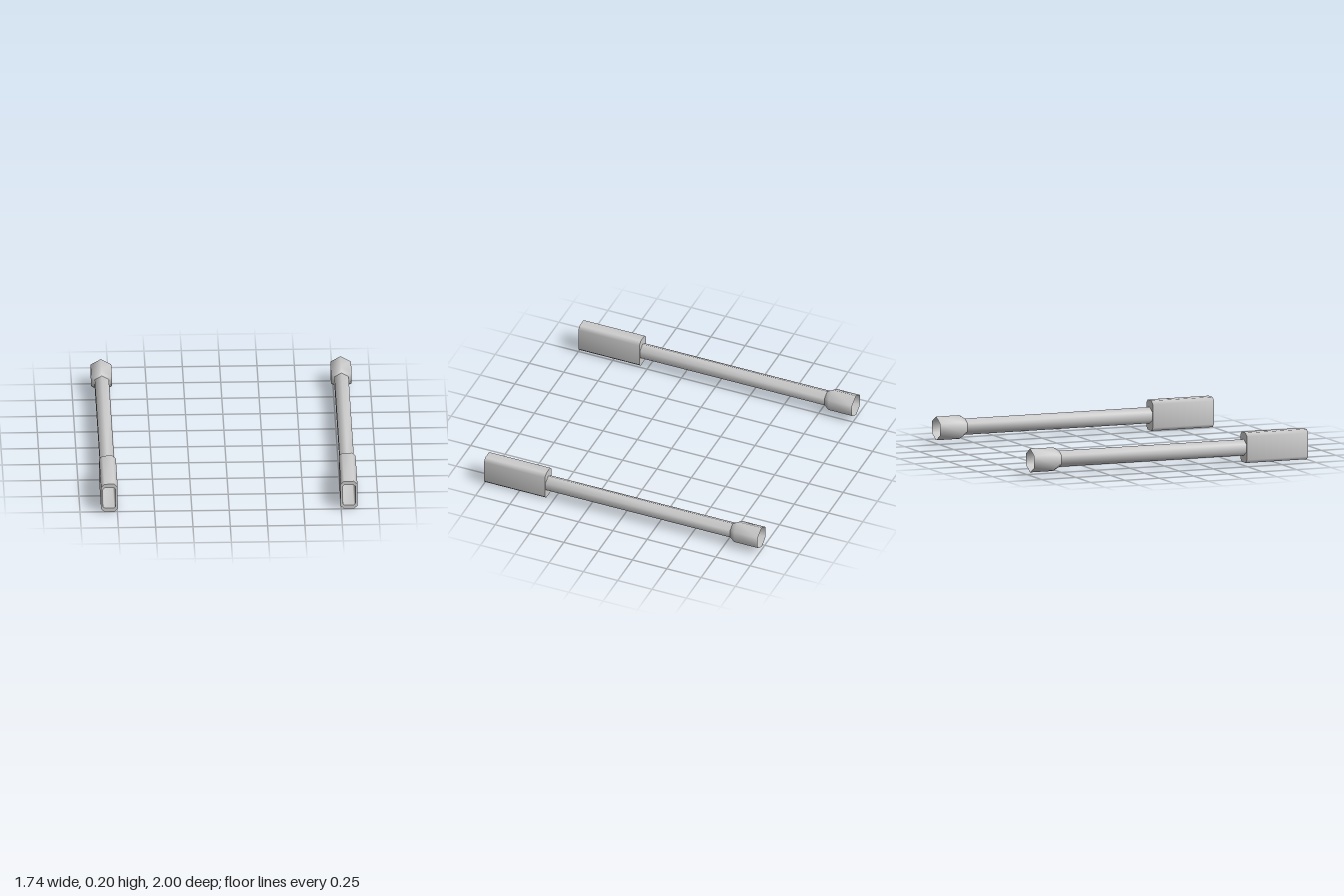
import * as THREE from 'three';
import { mergeGeometries } from 'three/addons/utils/BufferGeometryUtils.js';

const material = new THREE.MeshStandardMaterial({ color: 0xcccccc, side: THREE.DoubleSide });

// Hexagon with a corner at the top.
const hexagon = (r) => Array.from({ length: 6 }, (_, i) => {
  const a = Math.PI / 2 + (i * Math.PI) / 3;
  return [r * Math.cos(a), r * Math.sin(a)];
});

// Rectangle with cut corners, counterclockwise.
const cutRectangle = (w, h, c) => [
  [w, -h + c], [w, h - c], [w - c, h], [-w + c, h],
  [-w, h - c], [-w, -h + c], [-w + c, -h], [w - c, -h],
];

// Skin through a series of [outline, z] sections.
function loft(sections) {
  const n = sections[0][0].length;
  const positions = sections.flatMap(([outline, z]) => outline.flatMap(([x, y]) => [x, y, z]));
  const index = [];
  for (let i = 0; i < sections.length - 1; i++) {
    for (let j = 0; j < n; j++) {
      const a = i * n + j, b = i * n + ((j + 1) % n);
      index.push(a, b, b + n, a, b + n, a + n);
    }
  }
  const geometry = new THREE.BufferGeometry();
  geometry.setAttribute('position', new THREE.Float32BufferAttribute(positions, 3));
  geometry.setIndex(index);
  geometry.computeVertexNormals();
  return geometry;
}

function part(name, ...skins) {
  const mesh = new THREE.Mesh(mergeGeometries(skins.map(loft)), material);
  mesh.name = name;
  return mesh;
}

function createPipe(name, x) {
  const pipe = new THREE.Group();
  pipe.name = name;

  const thin = hexagon(0.055), wide = hexagon(0.08);
  pipe.add(part('tube', [[thin, -0.79], [thin, 0.56]]));

  // Flared rear socket, open at the back
  pipe.add(part('socket', [[wide, -1], [wide, -0.83], [thin, -0.79]]));

  // Hollow flat tip: back wall, outer shell, front rim, bore and bore floor
  const outer = cutRectangle(0.056, 0.102, 0.023);
  const inner = cutRectangle(0.042, 0.074, 0.01);
  const point = outer.map(() => [0, 0]);
  pipe.add(part('tip',
    [[point, 0.555], [outer, 0.555]],
    [[outer, 0.555], [outer, 1]],
    [[outer, 1], [inner, 1]],
    [[inner, 1], [inner, 0.62]],
    [[inner, 0.62], [point, 0.62]]));

  pipe.position.set(x, 0.102, 0);
  return pipe;
}

export function createModel() {
  const model = new THREE.Group();
  model.name = 'pipePair';
  model.add(createPipe('leftPipe', 0.803), createPipe('rightPipe', -0.803));
  return model;
}
